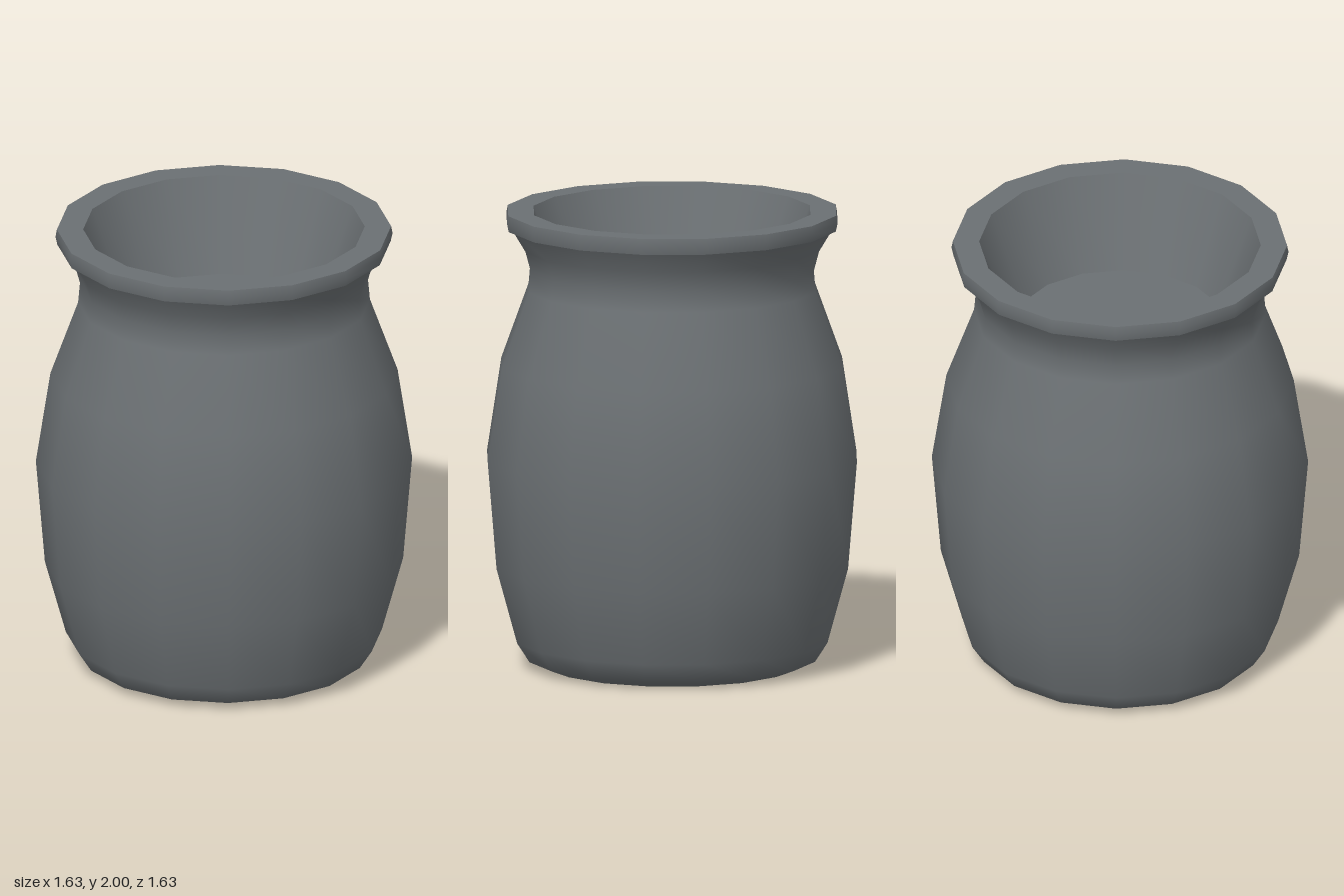
import * as THREE from 'three';

const SIDES = 16;

export function createModel() {
  const group = new THREE.Group();
  const stone = new THREE.MeshStandardMaterial({ color: 0x6b7073 });
  stone.name = 'grey stoneware';

  // Turns a profile of [radius, height] points; each profile is smooth, joins stay sharp
  function turn(name, profile) {
    const points = profile.map(([r, y]) => new THREE.Vector2(r, y));
    const mesh = new THREE.Mesh(new THREE.LatheGeometry(points, SIDES), stone);
    mesh.name = name;
    group.add(mesh);
  }

  // Base, belly and flared neck
  turn('body', [
    [0, 0], [0.54, 0], [0.63, 0.035], [0.685, 0.12], [0.776, 0.45], [0.815, 0.92],
    [0.752, 1.33], [0.632, 1.66], [0.624, 1.75], [0.648, 1.84], [0.702, 1.93],
  ]);

  // Lip: underside, slightly rounded band and flat top
  turn('lipUnderside', [[0.702, 1.93], [0.722, 1.93]]);
  turn('lipBand', [[0.722, 1.93], [0.73, 1.967], [0.724, 2]]);
  turn('lipTop', [[0.724, 2], [0.61, 2]]);

  // Tapered hollow with a flat floor
  turn('innerWall', [[0.61, 2], [0.456, 1.6]]);
  turn('innerFloor', [[0.456, 1.6], [0, 1.6]]);

  return group;
}
